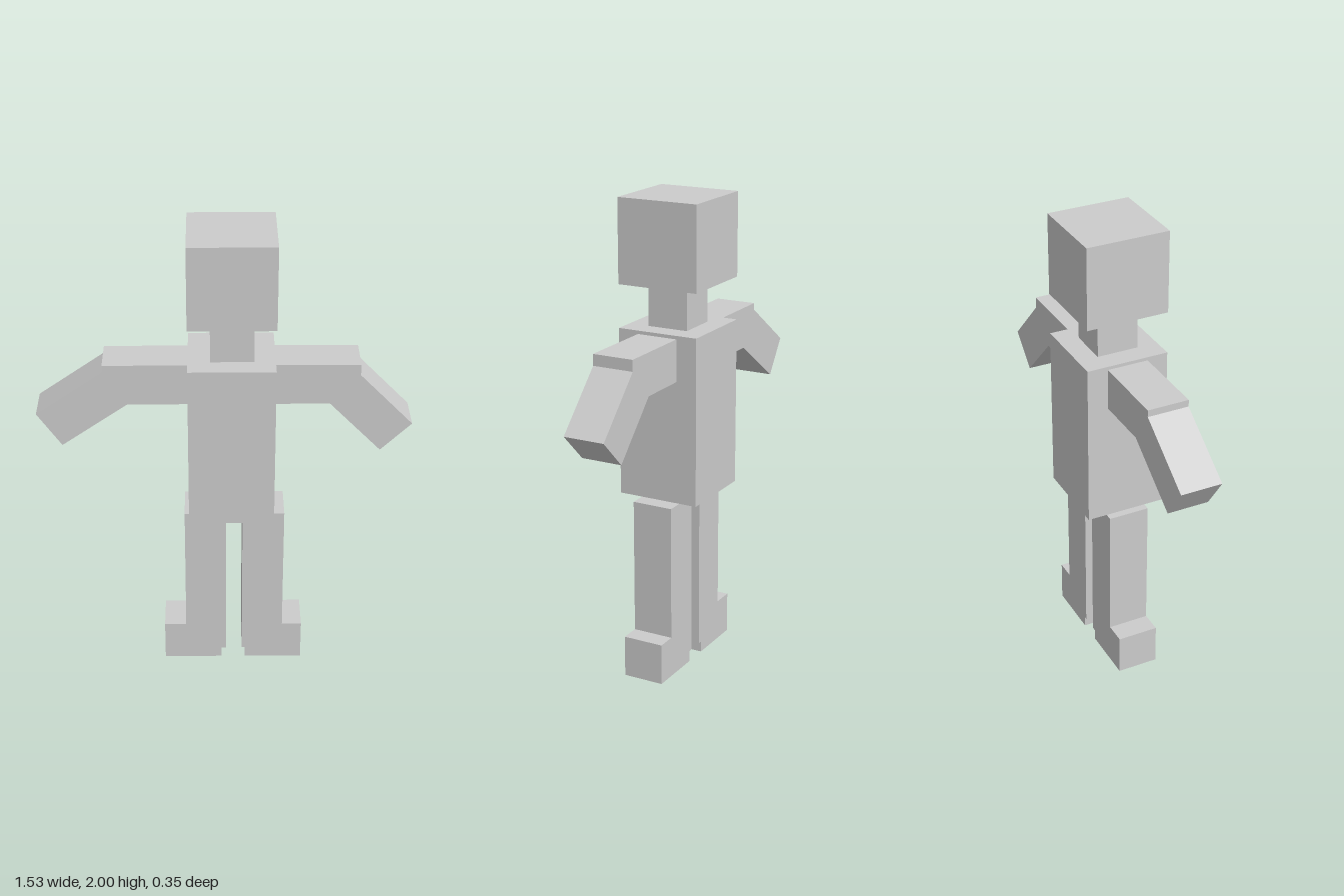
import * as THREE from 'three';

const THIN = 0.176; // depth of limbs and neck
const WIDE = 0.353; // depth of head and torso

export function createModel() {
  const group = new THREE.Group();
  const material = new THREE.MeshStandardMaterial({ color: 0xcccccc, flatShading: true });

  // Box spanning x0..x1 and y0..y1, centred in depth
  function block(name, x0, x1, y0, y1, depth) {
    const mesh = new THREE.Mesh(new THREE.BoxGeometry(x1 - x0, y1 - y0, depth), material);
    mesh.name = name;
    mesh.position.set((x0 + x1) / 2, (y0 + y1) / 2, 0);
    group.add(mesh);
    return mesh;
  }

  // Head, neck and torso
  block('head', -0.15, 0.203, 1.65, 2, WIDE);
  block('neck', -0.06, 0.117, 1.47, 1.65, THIN);
  block('torso', -0.15, 0.203, 0.763, 1.47, WIDE);

  // Upper arms, reaching slightly into the torso
  block('rightUpperArm', -0.492, -0.14, 1.28, 1.456, THIN);
  block('leftUpperArm', 0.19, 0.545, 1.28, 1.456, THIN);

  // Bent forearms: centre of the hand end, then the angle back towards the elbow
  function forearm(name, handX, handY, degrees) {
    const a = THREE.MathUtils.degToRad(degrees);
    const mesh = block(name, 0, WIDE, 0, THIN, THIN);
    mesh.position.set(handX + Math.cos(a) * WIDE / 2, handY + Math.sin(a) * WIDE / 2, 0);
    mesh.rotation.z = a;
  }
  forearm('rightForearm', -0.716, 1.164, 34.8);
  forearm('leftForearm', 0.7, 1.124, 134.3);

  // Legs
  block('rightLeg', -0.17, 0.005, 0.047, 0.753, THIN);
  block('leftLeg', 0.074, 0.25, 0.047, 0.753, THIN);

  // Feet, turned outward
  block('rightFoot', -0.263, -0.015, 0, 0.177, THIN);
  block('leftFoot', 0.088, 0.334, 0, 0.177, THIN);

  return group;
}
